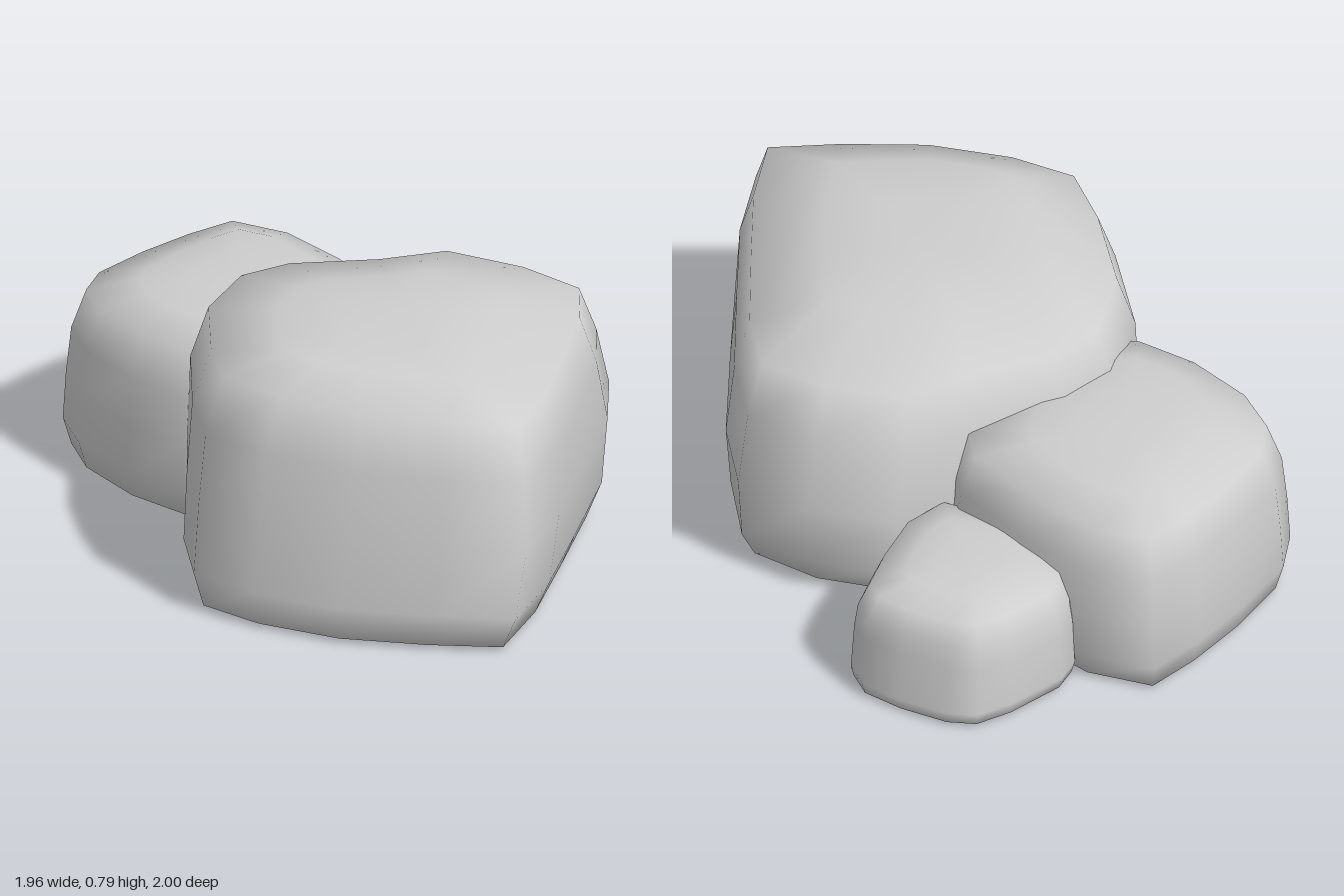
import * as THREE from 'three';

// Stone built from a ground outline [x, z] (clockwise from above) and stacked rings.
// rings: [y, x scale, z scale, z shift]; tilt: slope of the upper surface along x and z.
function makeStone(name, material, centre, outline, rings, tilt) {
  const [cx, cz] = centre;
  const top = rings[rings.length - 1][0];
  const n = outline.length;
  const pos = [];
  const index = [];
  const add = (x, y, z) => {
    const lift = (y / top) ** 2 * (tilt[0] * (x - cx) + tilt[1] * (z - cz));
    pos.push(x, y + lift, z);
  };
  for (const [y, sx, sz, dz = 0] of rings) {
    for (const [x, z] of outline) add(cx + (x - cx) * sx, y, cz + dz + (z - cz) * sz);
  }
  const under = pos.length / 3;
  add(cx, 0, cz);
  add(cx, top + 0.003, cz);
  const last = (rings.length - 1) * n;
  for (let i = 0; i < n; i++) {
    const j = (i + 1) % n;
    for (let r = 0; r < rings.length - 1; r++) {
      const a = r * n + i, b = r * n + j;
      index.push(a, a + n, b, b, a + n, b + n);
    }
    index.push(under, i, j, under + 1, last + j, last + i);
  }
  const geo = new THREE.BufferGeometry();
  geo.setAttribute('position', new THREE.Float32BufferAttribute(pos, 3));
  geo.setIndex(index);
  geo.computeVertexNormals();
  const mesh = new THREE.Mesh(geo, material);
  mesh.name = name;
  return mesh;
}

export function createModel() {
  const group = new THREE.Group();
  group.name = 'rockCluster';
  const stone = new THREE.MeshStandardMaterial({ color: 0xcecece });
  stone.name = 'light grey stone';

  // Large boulder at the front
  group.add(makeStone('largeRock', stone, [0.3, 0.25], [
    [0.09, -0.5], [0.37, -0.52], [0.61, -0.46], [0.73, -0.22], [0.84, 0.15], [0.94, 0.5],
    [0.98, 0.79], [0.75, 0.89], [0.47, 0.98], [0.18, 1.0], [-0.05, 0.96], [-0.2, 0.75],
    [-0.37, 0.42], [-0.4, 0.1], [-0.31, -0.09], [-0.07, -0.3],
  ], [
    [0.005, 0.84, 0.87, 0.03], [0.015, 0.91, 0.94, 0.03], [0.12, 0.98, 0.99, 0.01],
    [0.33, 1, 0.97, -0.02], [0.54, 0.98, 0.9], [0.7, 0.9, 0.81],
    [0.765, 0.53, 0.51, 0.07], [0.777, 0.25, 0.25, 0.06],
  ], [-0.025, 0.025]));

  // Medium boulder on the right side
  group.add(makeStone('mediumRock', stone, [-0.5, -0.12], [
    [-0.78, -0.65], [-0.56, -0.65], [-0.3, -0.54], [-0.05, -0.4], [0.02, -0.28],
    [0.02, -0.05], [-0.1, 0.22], [-0.28, 0.4], [-0.37, 0.42], [-0.59, 0.37],
    [-0.82, 0.25], [-0.95, 0.11], [-0.98, -0.04], [-0.93, -0.27], [-0.86, -0.48],
  ], [
    [0.005, 0.88, 0.88], [0.015, 0.95, 0.95], [0.1, 1, 1], [0.25, 0.98, 0.99],
    [0.4, 0.95, 0.95], [0.525, 0.86, 0.86], [0.572, 0.52, 0.6], [0.58, 0.25, 0.3],
  ], [0.01, 0.01]));

  // Small stone at the back
  group.add(makeStone('smallRock', stone, [-0.19, -0.65], [
    [-0.33, -0.98], [-0.24, -1.0], [-0.08, -0.98], [0.05, -0.94], [0.11, -0.87],
    [0.115, -0.68], [0.1, -0.46], [0.02, -0.3], [-0.3, -0.32], [-0.48, -0.5],
    [-0.52, -0.63], [-0.51, -0.72], [-0.41, -0.89],
  ], [
    [0.005, 0.9, 0.91], [0.012, 0.97, 0.98], [0.05, 1, 1], [0.2, 0.98, 0.93],
    [0.27, 0.95, 0.9], [0.34, 0.85, 0.81], [0.368, 0.55, 0.53], [0.374, 0.28, 0.28],
  ], [0, -0.01]));

  return group;
}
